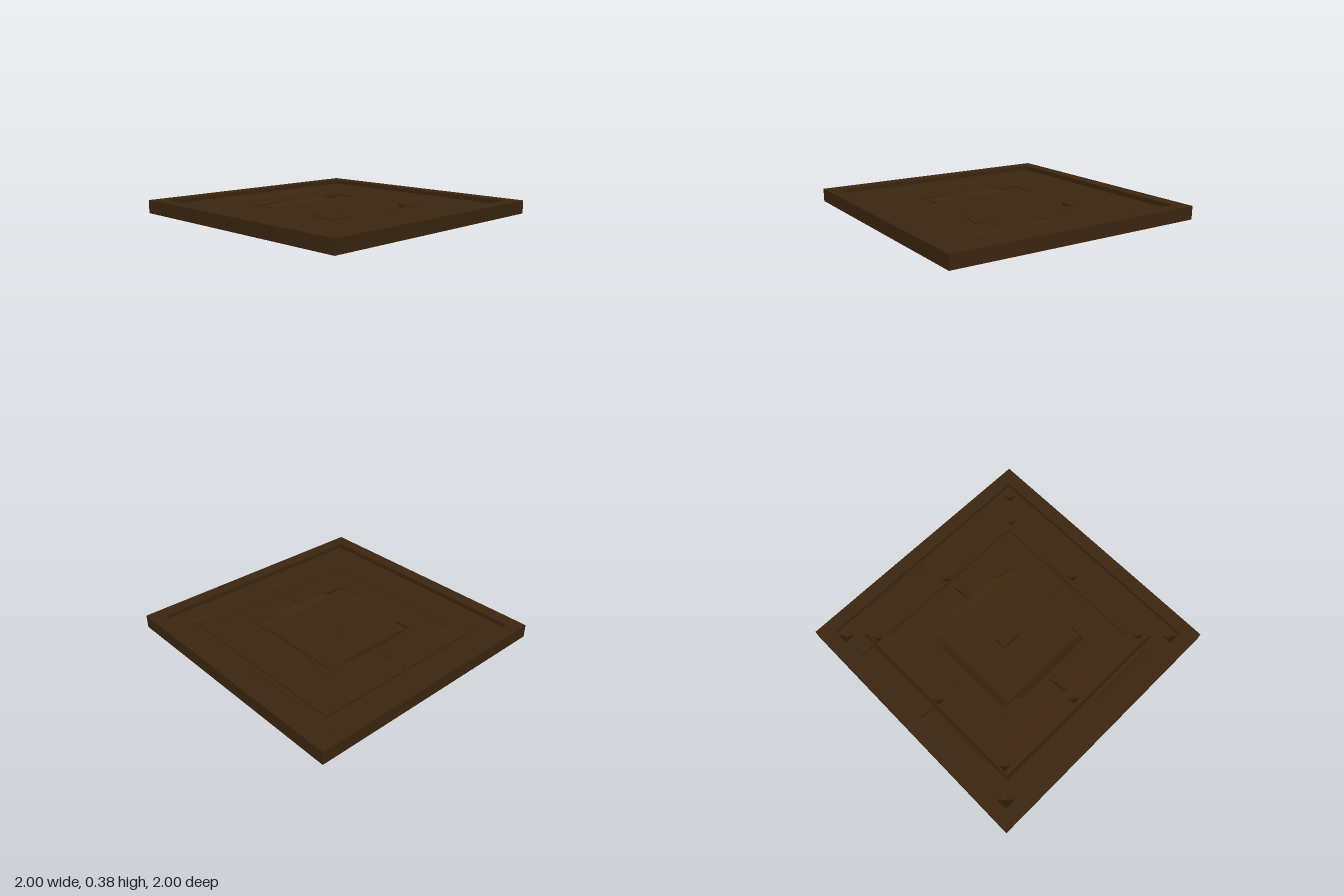
import * as THREE from 'three';

const wood = new THREE.MeshStandardMaterial({ color: 0x3b250f, side: THREE.DoubleSide, flatShading: true });
wood.name = 'dark wood';

export function createModel() {
  const group = new THREE.Group();

  function add(name, geometry, x = 0, y = 0, z = 0) {
    const geo = geometry.index ? geometry.toNonIndexed() : geometry;
    geo.computeVertexNormals();
    const mesh = new THREE.Mesh(geo, wood);
    mesh.name = name;
    mesh.position.set(x, y, z);
    group.add(mesh);
    return mesh;
  }

  function rect(target, x, z, hx, hz) {
    target.moveTo(x - hx, z - hz);
    target.lineTo(x + hx, z - hz);
    target.lineTo(x + hx, z + hz);
    target.lineTo(x - hx, z + hz);
    target.closePath();
    return target;
  }

  // Square plate with rectangular openings given as [x, z, halfX, halfZ]
  function plate(half, holes) {
    const shape = rect(new THREE.Shape(), 0, 0, half, half);
    for (const h of holes) shape.holes.push(rect(new THREE.Path(), ...h));
    return shape;
  }
  const flat = (name, half, y, holes) =>
    add(name, new THREE.ShapeGeometry(plate(half, holes)).rotateX(Math.PI / 2), 0, y, 0);

  // Four sloping sides joining two square outlines
  function slope(name, rTop, yTop, rBottom, yBottom) {
    const geo = new THREE.CylinderGeometry(rTop * Math.SQRT2, rBottom * Math.SQRT2, yTop - yBottom, 4, 1, true);
    add(name, geo.rotateY(Math.PI / 4), 0, (yTop + yBottom) / 2, 0);
  }

  // Hollow pyramid pointing down
  function pit(name, [x, z, hx, hz], y, depth) {
    const geo = new THREE.ConeGeometry(Math.SQRT2, depth, 4, 1, true).rotateY(Math.PI / 4).rotateX(Math.PI);
    add(name, geo.scale(hx, 1, hz), x, y - depth / 2, z);
  }

  // Low board with bevelled edges, narrower at the top or the bottom
  function board(name, [x, z, hx, hz], yBottom, yTop, bevelTop, bevelBottom) {
    const geo = new THREE.BoxGeometry(2 * hx, yTop - yBottom, 2 * hz);
    const p = geo.attributes.position;
    for (let i = 0; i < p.count; i++) {
      const inset = p.getY(i) > 0 ? bevelTop : bevelBottom;
      p.setX(i, p.getX(i) - Math.sign(p.getX(i)) * inset);
      p.setZ(i, p.getZ(i) - Math.sign(p.getZ(i)) * inset);
    }
    add(name, geo, x, (yBottom + yTop) / 2, z);
  }

  // Outer frame
  add('outerFrame', new THREE.ExtrudeGeometry(plate(1, [[0, 0, 0.9, 0.9]]),
    { depth: 0.1, bevelEnabled: false }).rotateX(Math.PI / 2), 0, 0.38, 0);

  // Positions of bosses, studs and grooves
  const corners = [], studs = [], crossGrooves = [];
  for (const sx of [-1, 1]) {
    for (const sz of [-1, 1]) {
      corners.push([sx * 0.84, sz * 0.85, 0.045, 0.043]);
      studs.push([sx * 0.67, sz * 0.695, 0.03, 0.027]);
    }
    studs.push([sx * 0.67, 0, 0.03, 0.027], [0, sx * 0.695, 0.027, 0.03]);
    crossGrooves.push([sx * 0.515, 0, 0.08, 0.022], [0, sx * 0.52, 0.006, 0.08]);
  }
  const centreHole = [0, 0, 0.05, 0.09];

  // Upper surface, from the frame inwards
  flat('outerPanel', 0.9, 0.345, [[0, 0, 0.755, 0.755], ...corners]);
  slope('outerStep', 0.755, 0.345, 0.735, 0.33);
  flat('beamBand', 0.735, 0.33, [[0, 0, 0.635, 0.635], ...studs]);
  slope('innerStep', 0.61, 0.34, 0.635, 0.33);
  flat('innerPanel', 0.61, 0.34, [[0, 0, 0.42, 0.42], ...crossGrooves]);
  slope('centreMouldingOuter', 0.42, 0.34, 0.36, 0.312);
  flat('centrePanel', 0.36, 0.312, [centreHole]);
  corners.forEach(c => pit('cornerHollow', c, 0.345, 0.05));
  studs.forEach(s => pit('studHollow', s, 0.33, 0.04));
  crossGrooves.forEach(g => pit('crossGroove', g, 0.34, 0.03));
  pit('centreHollow', centreHole, 0.312, 0.07);

  // Boards laid on the upper surface
  board('upperBoard', [-0.31, -0.82, 0.3, 0.07], 0.345, 0.355, 0.02, 0);
  board('upperBoard', [0.37, -0.82, 0.27, 0.07], 0.345, 0.355, 0.02, 0);
  board('upperBoard', [-0.84, 0.35, 0.05, 0.27], 0.345, 0.35, 0.01, 0);
  board('upperBoard', [0.84, -0.35, 0.05, 0.27], 0.345, 0.35, 0.01, 0);

  // Mitred corners around the centre
  const mitre = new THREE.Shape([[0.43, 0.47], [0.42, 0.25], [0.38, 0.29], [0.38, 0.41], [0.18, 0.42]]
    .map(([x, y]) => new THREE.Vector2(x, y)));
  for (let i = 0; i < 4; i++) {
    add('mouldingCorner', new THREE.ExtrudeGeometry(mitre,
      { depth: 0.03, bevelEnabled: false }).rotateX(Math.PI / 2), 0, 0.345, 0).rotation.y = i * Math.PI / 2;
  }

  // Underside, from the frame inwards
  flat('underside', 0.9, 0.286, [[0, 0, 0.635, 0.635]]);
  slope('lowerStep', 0.61, 0.302, 0.635, 0.286);
  flat('lowerPanel', 0.61, 0.302, [[0, 0, 0.43, 0.43]]);
  slope('lowerMouldingOuter', 0.43, 0.302, 0.395, 0.279);
  flat('lowerMoulding', 0.395, 0.279, [[0, 0, 0.37, 0.37]]);
  slope('lowerMouldingInner', 0.34, 0.3, 0.37, 0.279);
  flat('lowerCentre', 0.34, 0.3, []);
  studs.forEach(s => pit('stud', s, 0.286, 0.06));
  corners.forEach(c => pit('cornerBoss', c, 0.286, 0.016));
  for (const s of [-1, 1]) {
    for (const t of [-1, 1]) {
      board('lowerBoard', [s * 0.33, t * 0.8, 0.27, 0.06], 0.279, 0.287, 0, 0.02);
      board('lowerBoard', [s * 0.8, t * 0.33, 0.06, 0.27], 0.279, 0.287, 0, 0.02);
    }
  }

  // Turned pendant
  const profile = [[0.001, 0], [0.06, 0.055], [0.032, 0.09], [0.115, 0.15], [0.06, 0.195], [0.06, 0.25], [0.07, 0.3]];
  add('pendant', new THREE.LatheGeometry(profile.map(([x, y]) => new THREE.Vector2(x, y)), 6, Math.PI / 6));

  // Leaves around the top of the pendant
  const leaf = new THREE.Shape([[0.03, 0.3], [0.05, 0.27], [0.12, 0.23], [0.16, 0.25], [0.165, 0.28], [0.1, 0.3]]
    .map(([x, y]) => new THREE.Vector2(x, y)));
  for (let i = 0; i < 4; i++) {
    const geo = new THREE.ExtrudeGeometry(leaf, { depth: 0.08, bevelEnabled: false }).translate(0, 0, -0.04);
    const p = geo.attributes.position;
    // Taper each leaf towards its tip
    for (let j = 0; j < p.count; j++) p.setZ(j, p.getZ(j) * (1.25 - p.getX(j) * 4.5));
    add('pendantLeaf', geo).rotation.y = i * Math.PI / 2;
  }

  return group;
}
